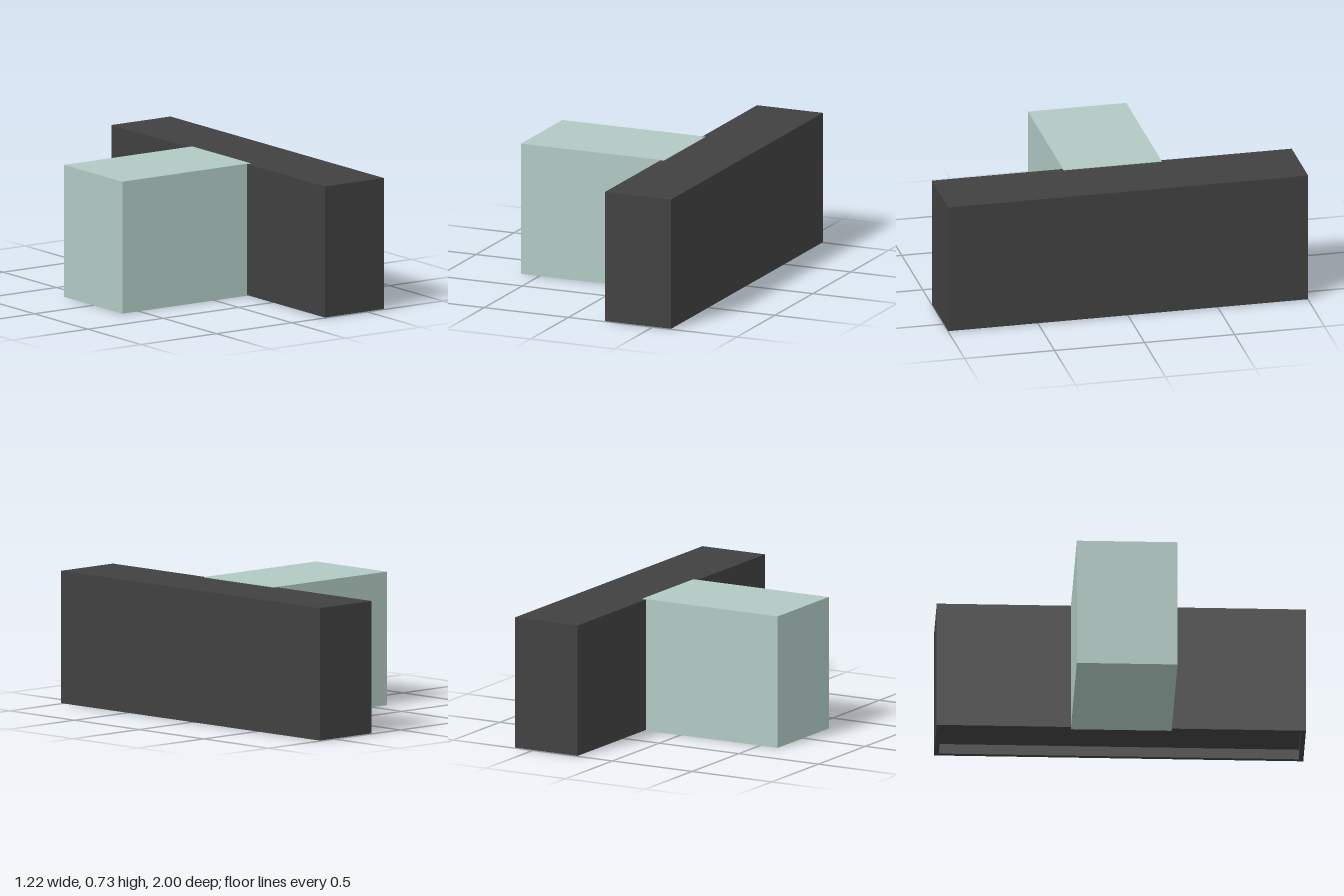
import * as THREE from 'three';

const dark = new THREE.MeshStandardMaterial({ color: 0x404040 });
const pale = new THREE.MeshStandardMaterial({ color: 0xb0c9c2 });

// Box given by its min and max corners
function block(name, material, [x0, y0, z0], [x1, y1, z1]) {
  const mesh = new THREE.Mesh(new THREE.BoxGeometry(x1 - x0, y1 - y0, z1 - z0), material);
  mesh.position.set((x0 + x1) / 2, (y0 + y1) / 2, (z0 + z1) / 2);
  mesh.name = name;
  return mesh;
}

export function createModel() {
  const group = new THREE.Group();
  group.name = 'tShapedBlock';

  // Long case: four wall panels round a core whose underside is recessed
  const t = 0.025, left = 0.61, right = 0.218, bottom = 0.003, top = 0.727;
  const longCase = new THREE.Group();
  longCase.name = 'longCase';
  longCase.add(
    block('outerWall', dark, [left - t, bottom, -1 + t], [left, top, 1 - t]),
    block('innerWall', dark, [right, bottom, -1 + t], [right + t - 0.008, top, 1 - t]),
    block('core', dark, [right + t - 0.008, 0.06, -1 + t], [left - t, top, 1 - t])
  );
  for (const s of [-1, 1]) {
    const z = [s, s * (1 - t)].sort((a, b) => a - b);
    longCase.add(block('endWall', dark, [right, bottom, z[0]], [left, top, z[1]]));
  }
  group.add(longCase);

  // Pale block butting through the inner wall
  group.add(block('sideBlock', pale, [-0.61, 0, -0.273], [0.24, 0.73, 0.273]));
  return group;
}
